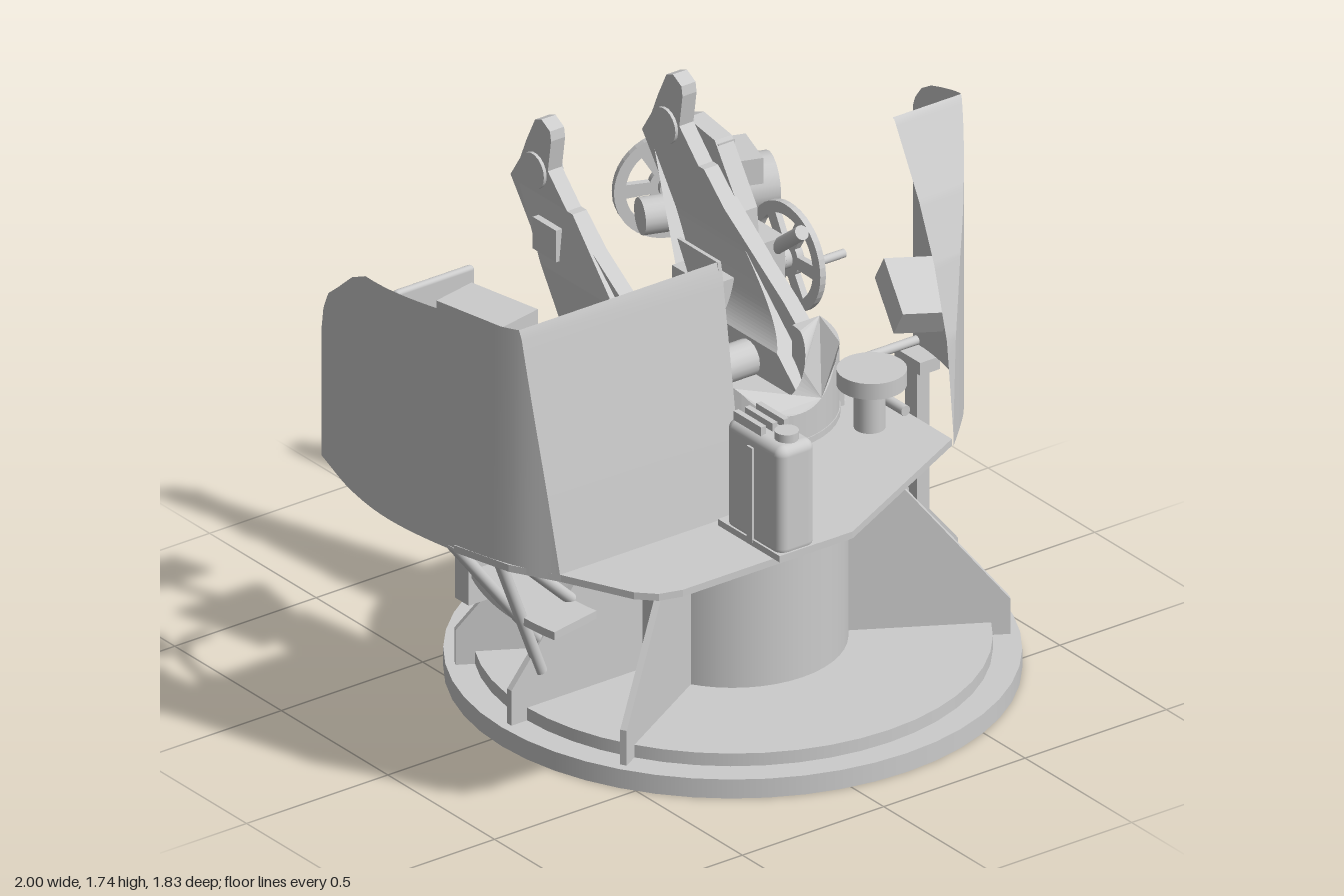
import * as THREE from 'three';
import { RoundedBoxGeometry } from 'three/addons/geometries/RoundedBoxGeometry.js';

const grey = new THREE.MeshStandardMaterial({ color: 0xcccccc });
const sheet = new THREE.MeshStandardMaterial({ color: 0xcccccc, side: THREE.DoubleSide });
const CX = 0.182, CZ = 0.05;

export function createModel() {
  const root = new THREE.Group();
  const add = (name, geo, x = 0, y = 0, z = 0, ry = 0, parent = root, mat = grey) => {
    const m = new THREE.Mesh(geo, mat);
    m.name = name;
    m.position.set(x, y, z);
    m.rotation.y = ry;
    parent.add(m);
    return m;
  };
  const box = (name, w, h, d, x, y, z, ry = 0, parent = root) =>
    add(name, new THREE.BoxGeometry(w, h, d), x, y, z, ry, parent);
  const cyl = (name, r, y0, y1, x, z, seg = 32) =>
    add(name, new THREE.CylinderGeometry(r, r, y1 - y0, seg), x, (y0 + y1) / 2, z);
  // round bar between two points
  const rod = (name, a, b, r, parent = root) => {
    const A = new THREE.Vector3(...a), B = new THREE.Vector3(...b), d = B.clone().sub(A);
    const m = add(name, new THREE.CylinderGeometry(r, r, d.length(), 18), 0, 0, 0, 0, parent);
    m.position.copy(A).add(B).multiplyScalar(0.5);
    m.quaternion.setFromUnitVectors(new THREE.Vector3(0, 1, 0), d.normalize());
    return m;
  };
  const poly = pts => new THREE.Shape(pts.map(p => new THREE.Vector2(...p)));
  const extrude = (shape, depth) =>
    new THREE.ExtrudeGeometry(shape, { depth, bevelEnabled: false, curveSegments: 20 });
  // profile in (z, y), extruded across x and centred on it
  const sidePlate = (name, pts, t, x) =>
    add(name, extrude(poly(pts), t).rotateY(-Math.PI / 2).translate(t / 2, 0, 0), x);
  // profile in (x, z), extruded upward from y
  const flatPlate = (name, shape, t, y) =>
    add(name, extrude(shape, t).rotateX(Math.PI / 2).translate(0, t, 0), 0, y);

  // Base and pedestal; the front of the column carries no ribs
  cyl('baseDisc', 0.818, 0, 0.06, CX, CZ, 48);
  cyl('basePlate', 0.735, 0.06, 0.1, CX, CZ, 48);
  cyl('column', 0.327, 0.1, 0.7, CX, CZ, 48);
  cyl('columnFlange', 0.357, 0.7, 0.72, CX, CZ, 48);
  cyl('turntableRing', 0.31, 0.72, 0.76, CX, CZ, 48);
  cyl('turntable', 0.327, 0.74, 0.82, CX, CZ, 48);
  const ribGeo = extrude(poly([[0.3, 0.06], [0.79, 0.06], [0.79, 0.17], [0.355, 0.7], [0.3, 0.7]]), 0.02)
    .translate(0, 0, -0.01);
  for (let i = -1; i < 8; i++) add('rib', ribGeo, CX, 0, CZ, i * Math.PI / 6);
  box('baseBox', 0.12, 0.15, 0.12, -0.29, 0.175, -0.36, 0.6);

  // Deck
  flatPlate('deck', poly([[-0.97, 0.27], [-0.92, 0.46], [-0.84, 0.6], [-0.74, 0.81], [-0.69, 0.86], [-0.62, 0.88],
    [-0.02, 0.88], [0.02, 0.86], [0.55, 0.59], [0.55, 0.25], [0.4, 0], [-0.08, 0], [-0.19, 0.27]]), 0.022, 0.808);

  // Sheet surface spanning two rows of points
  const strip = (name, rowA, rowB) => {
    const pos = [], idx = [];
    rowA.forEach((a, i) => {
      pos.push(...a, ...rowB[i]);
      if (i) { const k = 2 * i; idx.push(k - 2, k, k - 1, k - 1, k, k + 1); }
    });
    const g = new THREE.BufferGeometry();
    g.setAttribute('position', new THREE.Float32BufferAttribute(pos, 3));
    g.setIndex(idx);
    g.computeVertexNormals();
    return add(name, g, 0, 0, 0, 0, root, sheet);
  };
  // linear lookup in a table of [key, value] with falling keys
  const lookup = (t, k) => {
    for (let i = 1; i < t.length; i++) if (k >= t[i][0]) {
      const [a, b] = [t[i - 1], t[i]];
      return a[1] + (b[1] - a[1]) * Math.min(1, Math.max(0, (a[0] - k) / (a[0] - b[0])));
    }
    return t[t.length - 1][1];
  };
  // Shield: curved side wall following a plan, cut by a sloping front panel
  const shield = (name, plan, slope, rim, innerX) => {
    const pts = new THREE.CatmullRomCurve3(plan.map(p => new THREE.Vector3(p[0], 0, p[1]))).getPoints(90);
    const zTop = slope[slope.length - 1][0];
    const top = z => (z > zTop ? lookup(slope, z) : lookup(rim, z));
    strip(name + 'Wall', pts.map(p => [p.x, 0.81, p.z]), pts.map(p => [p.x, top(p.z), p.z]));
    const front = pts.filter(p => p.z >= zTop - 0.005);
    strip(name + 'FrontPanel', front.map(p => [p.x, top(p.z), p.z]), front.map(p => [innerX, top(p.z), p.z]));
  };
  shield('tallShield', [[0.548, 0.6], [0.64, 0.51], [0.705, 0.44], [0.79, 0.315], [0.83, 0.19], [0.848, 0.08], [0.85, 0.01]],
    [[0.6, 0.85], [0.57, 1.13], [0.51, 1.35], [0.44, 1.52], [0.32, 1.74]],
    [[0.32, 1.74], [0.1, 1.66], [0.05, 1.63], [0.02, 1.59], [0.01, 1.56]], 0.548);
  shield('lowShield', [[-0.84, 0.6], [-0.91, 0.47], [-0.97, 0.25], [-0.997, 0], [-0.975, -0.2], [-0.91, -0.43]],
    [[0.6, 0.81], [0.56, 1.1], [0.49, 1.58]],
    [[0.49, 1.58], [0, 1.54], [-0.12, 1.53], [-0.2, 1.49], [-0.3, 1.41], [-0.38, 1.35], [-0.42, 1.28], [-0.43, 1.22]],
    -0.19);
  sidePlate('shieldGusset', [[0.6, 0.82], [0.56, 1.1], [0.49, 1.58], [0.3, 1.58], [0.39, 1.42], [0.45, 1.25],
    [0.44, 1.1], [0.37, 0.94], [0.27, 0.82]], 0.012, -0.197);
  for (const x of [-0.5, -0.28])
    add('shieldBrace', new THREE.TubeGeometry(new THREE.CatmullRomCurve3([[0.22, 0.83], [0.36, 0.95], [0.44, 1.15],
      [0.49, 1.4]].map(p => new THREE.Vector3(x, p[1], p[0]))), 16, 0.02, 8), 0, 0, 0);
  box('shieldLocker', 0.15, 0.14, 0.25, -0.845, 1.48, 0.26, 0.2);
  box('shieldPad', 0.13, 0.14, 0.12, -0.85, 0.95, -0.33, -0.35);

  // Gun carriage: saddle disc with a scooped front lip, raked U-shaped cradle, two arms
  cyl('saddle', 0.285, 0.81, 0.85, CX - 0.005, 0.09, 40);
  const lip = new THREE.Shape();
  lip.absarc(CX - 0.005, 0.09, 0.282, 0, Math.PI, false);
  lip.absarc(CX - 0.005, 0.09, 0.185, Math.PI, 0, true);
  const lipGeo = flatPlate('saddleLip', lip, 0.12, 0.81).geometry;
  const lp = lipGeo.attributes.position;
  for (let i = 0; i < lp.count; i++) if (lp.getY(i) > 0.06) {
    const d = Math.abs(lp.getX(i) - CX + 0.005) / 0.14;
    lp.setY(i, 0.125 + Math.min(0.11, 0.06 * d ** 2.5));
  }
  lipGeo.computeVertexNormals();
  const u = poly([[-0.1, 0.81], [0.455, 0.81], [0.455, 1.15], [0.435, 1.35], [0.385, 1.35], [0.385, 1.18]]);
  u.bezierCurveTo(0.375, 1.06, 0.36, 1.0, 0.32, 0.96);
  u.lineTo(0.32, 0.855);
  u.lineTo(0.04, 0.855);
  u.lineTo(0.04, 0.96);
  u.bezierCurveTo(0.0, 1.0, -0.02, 1.06, -0.03, 1.18);
  u.lineTo(-0.03, 1.35);
  u.lineTo(-0.08, 1.35);
  u.lineTo(-0.1, 1.15);
  // lean the cradle back and narrow it toward the top
  const cradle = extrude(u, 1);
  const cp = cradle.attributes.position;
  for (let i = 0; i < cp.count; i++) {
    const h = cp.getY(i) - 0.81, rear = -0.26 - 0.64 * h, front = 0.24 - 1.1 * h;
    cp.setZ(i, rear + (front - rear) * cp.getZ(i));
  }
  cradle.computeVertexNormals();
  add('cradle', cradle);
  const arm = [[0.24, 0.81], [-0.26, 0.81], [-0.38, 1.0], [-0.6, 1.3], [-0.645, 1.36], [-0.6, 1.43], [-0.57, 1.5],
    [-0.53, 1.58], [-0.5, 1.592], [-0.46, 1.57], [-0.455, 1.54], [-0.47, 1.44], [-0.36, 1.33], [0.02, 1.08],
    [0.17, 0.96], [0.24, 0.9]];
  for (const x of [-0.055, 0.41]) {
    const s = x < 0 ? -1 : 1;
    sidePlate('trunnionArm', arm, 0.05, x);
    strip('rearWeb', [[x, 1.34, -0.6], [x, 0.83, -0.24]], [[x - s * 0.02, 1.34, -0.6], [x - s * 0.15, 0.83, -0.24]]);
    rod('trunnionBoss', [x - 0.035, 1.42, -0.53], [x + 0.035, 1.42, -0.53], 0.055);
    box('armPad', 0.035, 0.1, 0.11, x + s * 0.035, 1.24, -0.45);
    rod('pivotCap', [x, 0.88, -0.04], [x + s * 0.065, 0.88, -0.04], 0.05);
  }
  rod('crossShaft', [0, 0.895, -0.06], [0.24, 0.895, -0.06], 0.04);
  rod('crossShaftCollar', [0.12, 0.895, -0.06], [0.34, 0.895, -0.06], 0.055);
  box('cradleBox', 0.11, 0.11, 0.17, 0.335, 1.02, -0.28);

  // Handwheels with six wedge openings
  const handwheel = (x, y, z, ry, hx, hy) => {
    const g = new THREE.Group();
    g.name = 'handwheel';
    g.position.set(x, y, z);
    g.rotation.y = ry;
    root.add(g);
    const s = new THREE.Shape().absarc(0, 0, 0.165, 0, Math.PI * 2);
    for (let i = 0; i < 6; i++) {
      const a = i * Math.PI / 3;
      const h = new THREE.Path();
      h.absarc(0, 0, 0.13, a + 0.16, a + 0.88, false);
      h.absarc(0, 0, 0.06, a + 0.72, a + 0.32, true);
      h.closePath();
      s.holes.push(h);
    }
    add('wheel', extrude(s, 0.02).translate(0, 0, -0.01), 0, 0, 0, 0, g);
    rod('wheelHub', [0, 0, -0.03], [0, 0, 0.03], 0.035, g);
    rod('wheelHandle', [hx, hy, 0], [hx, hy, 0.1], 0.013, g);
  };
  handwheel(0.63, 1.03, -0.285, Math.PI / 2, -0.13, 0.03);
  handwheel(0.58, 1.07, -0.78, Math.PI - 0.33, 0.12, -0.08);

  // Elevation and training gear on the +x arm
  const gear = new THREE.Group();
  gear.name = 'gearUnit';
  gear.position.set(0.62, 1.09, -0.65);
  gear.rotation.y = -0.33;
  root.add(gear);
  box('gearCase', 0.24, 0.24, 0.16, 0.02, 0, 0, 0, gear);
  rod('gearDrum', [0.08, 0, 0], [0.19, 0, 0], 0.09, gear);
  rod('gearTube', [-0.2, -0.05, 0], [0, -0.05, 0], 0.055, gear);
  rod('wheelAxle', [0, -0.02, 0], [0, -0.02, -0.14], 0.025, gear);
  rod('gearNeck', [0.03, -0.06, 0], [0.03, -0.06, 0.18], 0.055, gear);
  sidePlate('sightBracket', [[-0.24, 1.12], [-0.5, 1.06], [-0.62, 1.25], [-0.65, 1.36], [-0.6, 1.4], [-0.5, 1.44],
    [-0.37, 1.42], [-0.25, 1.24]], 0.06, 0.465);
  rod('bracketBoss', [0.44, 1.25, -0.48], [0.53, 1.25, -0.48], 0.06);
  box('bracketBlock', 0.06, 0.1, 0.12, 0.47, 1.36, -0.42);
  box('trainingGearbox', 0.12, 0.16, 0.15, 0.53, 1.04, -0.32);
  rod('trainingAxle', [0.5, 1.03, -0.285], [0.64, 1.03, -0.285], 0.035);
  rod('brakeLever', [0.57, 1.18, -0.14], [0.57, 0.96, -0.42], 0.022);
  rod('driveShaft', [0.52, 0.62, -0.33], [0.52, 1.0, -0.33], 0.015);
  rod('linkShaft', [0.515, 0.86, -0.3], [0.515, 0.86, 0.42], 0.016);
  cyl('shaftCollar', 0.03, 0.69, 0.71, 0.52, -0.33);

  // Tall shield fittings
  box('shieldPost', 0.045, 0.71, 0.055, 0.82, 0.455, 0.07);
  box('postBracket', 0.07, 0.04, 0.12, 0.82, 0.79, 0.07);
  rod('postTie', [0.55, 0.83, 0.04], [0.84, 0.83, 0.04], 0.014);
  const tray = box('controlBox', 0.15, 0.09, 0.2, 0.73, 1.06, 0.17, -0.3);
  tray.rotation.x = 0.5;
  cyl('drumStand', 0.045, 0.83, 0.98, 0.41, 0.39);
  cyl('drumTop', 0.1, 0.97, 1.02, 0.41, 0.4);

  // Canister on the front of the deck
  add('canister', new RoundedBoxGeometry(0.13, 0.35, 0.26, 4, 0.03), -0.23, 1.005, 0.775);
  box('canisterTray', 0.14, 0.02, 0.29, -0.23, 0.84, 0.765);
  box('canisterStrap', 0.145, 0.3, 0.025, -0.23, 0.99, 0.77);
  for (const x of [-0.27, -0.23, -0.19]) box('canisterHandle', 0.018, 0.03, 0.13, x, 1.19, 0.73);
  rod('canisterCap', [-0.23, 1.16, 0.85], [-0.23, 1.205, 0.85], 0.035);
  box('canisterBracket', 0.04, 0.14, 0.04, -0.28, 0.74, 0.3);

  // Operator seat
  flatPlate('seatPan', poly([[-0.645, -0.43], [-0.35, -0.43], [-0.4, -0.14], [-0.58, -0.14]]), 0.045, 0.885);
  add('seatBack', new RoundedBoxGeometry(0.28, 0.16, 0.025, 3, 0.012), -0.5, 1.16, -0.45);
  box('seatBackBar', 0.035, 0.26, 0.015, -0.5, 1.0, -0.435);
  box('seatPost', 0.065, 0.42, 0.065, -0.495, 0.5, -0.28);
  box('seatBracket', 0.16, 0.025, 0.16, -0.5, 0.7, -0.28);
  for (const x of [-0.53, -0.47]) for (let i = 0; i < 5; i++)
    add('seatSpring', new THREE.TorusGeometry(0.024, 0.008, 6, 16).rotateX(Math.PI / 2), x, 0.73 + i * 0.035, -0.28);
  cyl('seatStem', 0.025, 0.7, 0.9, -0.5, -0.28);

  // Curved step resting on the ribs
  const step = new THREE.Shape();
  step.absarc(CX, CZ, 0.76, Math.PI - 0.2, Math.PI * 1.33, false);
  step.absarc(CX, CZ, 0.58, Math.PI * 1.33, Math.PI - 0.2, true);
  flatPlate('step', step, 0.025, 0.375);
  box('stepLeaf', 0.15, 0.02, 0.22, -0.24, 0.385, -0.37);

  // Struts and foot controls beside the low shield
  for (const [z, x0, x1, y1] of [[0.02, -0.9, -0.44, 0.22], [0.09, -0.84, -0.4, 0.4], [0.07, -0.74, -0.5, 0.2]])
    rod('deckStrut', [x0, 0.82, z], [x1, y1, 0.05 + (z - 0.05) * 0.3], 0.018);
  add('footRail', new THREE.TubeGeometry(new THREE.CatmullRomCurve3([[-0.66, -0.34], [-0.77, -0.32], [-0.83, -0.2],
    [-0.84, -0.03]].map(p => new THREE.Vector3(p[0], 0.84, p[1]))), 20, 0.018, 8));
  cyl('pedalPivot', 0.05, 0.8, 0.9, -0.82, -0.04);
  rod('pedalLever', [-0.98, 0.83, 0.05], [-0.52, 0.83, 0.065], 0.018);
  cyl('pedalJoint', 0.04, 0.8, 0.87, -0.73, 0.05);
  strip('lowerRail', [[-0.97, 0.82, 0.27], [-0.99, 0.82, 0], [-0.97, 0.82, -0.2], [-0.9, 0.82, -0.42]],
    [[-0.9, 0.82, 0.27], [-0.94, 0.82, 0], [-0.92, 0.82, -0.2], [-0.86, 0.82, -0.42]]);
  return root;
}
